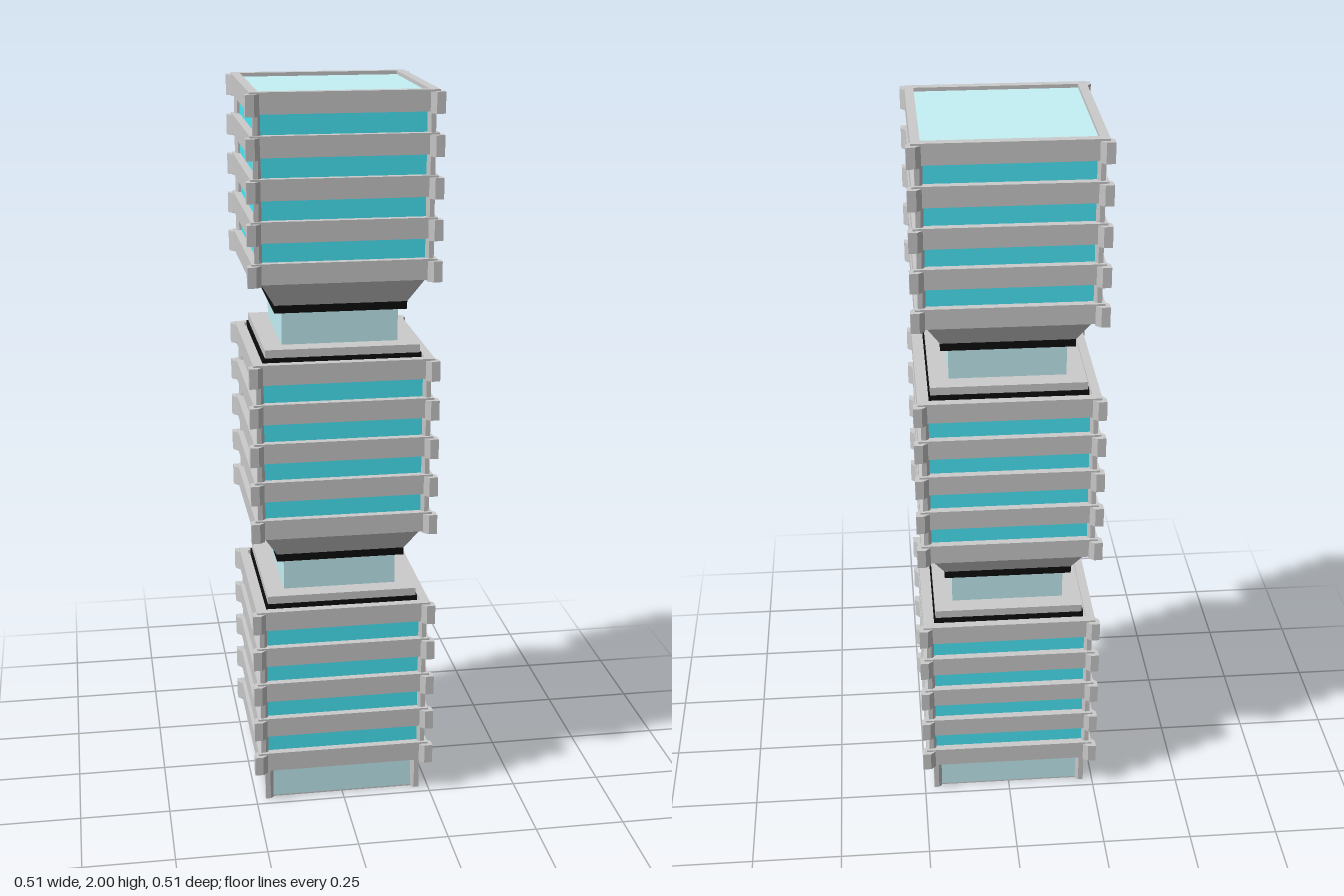
import * as THREE from 'three';

const mat = (color) => new THREE.MeshStandardMaterial({ color, flatShading: true });
const grey = mat(0xcccccc);
const teal = mat(0x4aeafa);
const paleGlass = mat(0xc5f2f7);
const black = mat(0x0c0c0c);

const BAND_H = 0.055, PITCH = 0.10875, BLOCK_H = 4 * PITCH + BAND_H, STOREY = 0.705;

function add(parent, name, geometry, material, y = 0) {
  const mesh = new THREE.Mesh(geometry, material);
  mesh.name = name;
  mesh.position.y = y;
  parent.add(mesh);
  return mesh;
}

// square slab given by half width, bottom and top
function slab(parent, name, half, y0, y1, material) {
  return add(parent, name, new THREE.BoxGeometry(2 * half, y1 - y0, 2 * half), material, (y0 + y1) / 2);
}

function extrudeUp(shape, height) {
  const g = new THREE.ExtrudeGeometry(shape, { depth: height, bevelEnabled: false });
  g.rotateX(-Math.PI / 2);
  return g;
}

// four chamfered corner pieces; o is the outer half width, s scales the section
function corners(parent, name, o, s, y0, y1) {
  const section = [[0, 0], [0.023, 0], [0.037, 0.012], [0.037, 0.037], [0.012, 0.037], [0, 0.023]];
  const shape = new THREE.Shape(section.map(([a, b]) => new THREE.Vector2(o - a * s, o - b * s)));
  const geometry = extrudeUp(shape, y1 - y0);
  for (let i = 0; i < 4; i++) add(parent, name, geometry, grey, y0).rotation.y = (i * Math.PI) / 2;
}

// square ring with an open middle
function squareRing(outer, inner, height) {
  const square = (Type, h) => new Type([[-h, -h], [h, -h], [h, h], [-h, h]].map(([x, y]) => new THREE.Vector2(x, y)));
  const shape = square(THREE.Shape, outer);
  shape.holes.push(square(THREE.Path, inner));
  return extrudeUp(shape, height);
}

// glazed block with five floor bands and corner caps
function createBlock(isTop) {
  const block = new THREE.Group();
  block.name = 'towerBlock';
  slab(block, 'windowGlass', 0.222, 0.004, BLOCK_H - 0.02, teal);
  corners(block, 'cornerPost', 0.235, 0.55, 0.002, BLOCK_H - 0.01);
  for (let i = 0; i < 5; i++) {
    const y = i * PITCH;
    if (i < 4) slab(block, 'floorBand', 0.243, y, y + BAND_H, grey);
    else add(block, 'parapet', squareRing(0.243, 0.219, BAND_H), grey, y);
    corners(block, 'cornerCap', 0.255, 1, y - 0.005, y + BAND_H - 0.005);
  }
  slab(block, 'roof', 0.2195, BLOCK_H - 0.03, BLOCK_H - 0.01, isTop ? paleGlass : grey);
  return block;
}

// recessed neck linking two blocks, from roof plinth to flared underside
function createNeck() {
  const neck = new THREE.Group();
  neck.name = 'neck';
  slab(neck, 'plinthSeam', 0.212, -0.01, 0.01, black);
  slab(neck, 'plinth', 0.208, 0.01, 0.032, grey);
  slab(neck, 'neckGlass', 0.157, 0.032, 0.125, paleGlass);
  slab(neck, 'neckCollar', 0.178, 0.123, 0.144, black);
  const flare = new THREE.CylinderGeometry(0.22 * Math.SQRT2, 0.178 * Math.SQRT2, 0.071, 4);
  flare.rotateY(Math.PI / 4);
  add(neck, 'flare', flare, grey, 0.1795);
  return neck;
}

export function createModel() {
  const tower = new THREE.Group();
  tower.name = 'tower';

  // ground floor
  slab(tower, 'groundFloorGlass', 0.212, 0.004, 0.1, paleGlass);
  slab(tower, 'foundation', 0.212, 0, 0.004, grey);
  corners(tower, 'groundFloorPost', 0.223, 0.62, 0, 0.1);

  // stacked blocks with necks between
  for (let i = 0; i < 3; i++) {
    const block = createBlock(i === 2);
    block.position.y = 0.1 + i * STOREY;
    tower.add(block);
    if (i < 2) {
      const neck = createNeck();
      neck.position.y = block.position.y + BLOCK_H;
      tower.add(neck);
    }
  }
  return tower;
}
